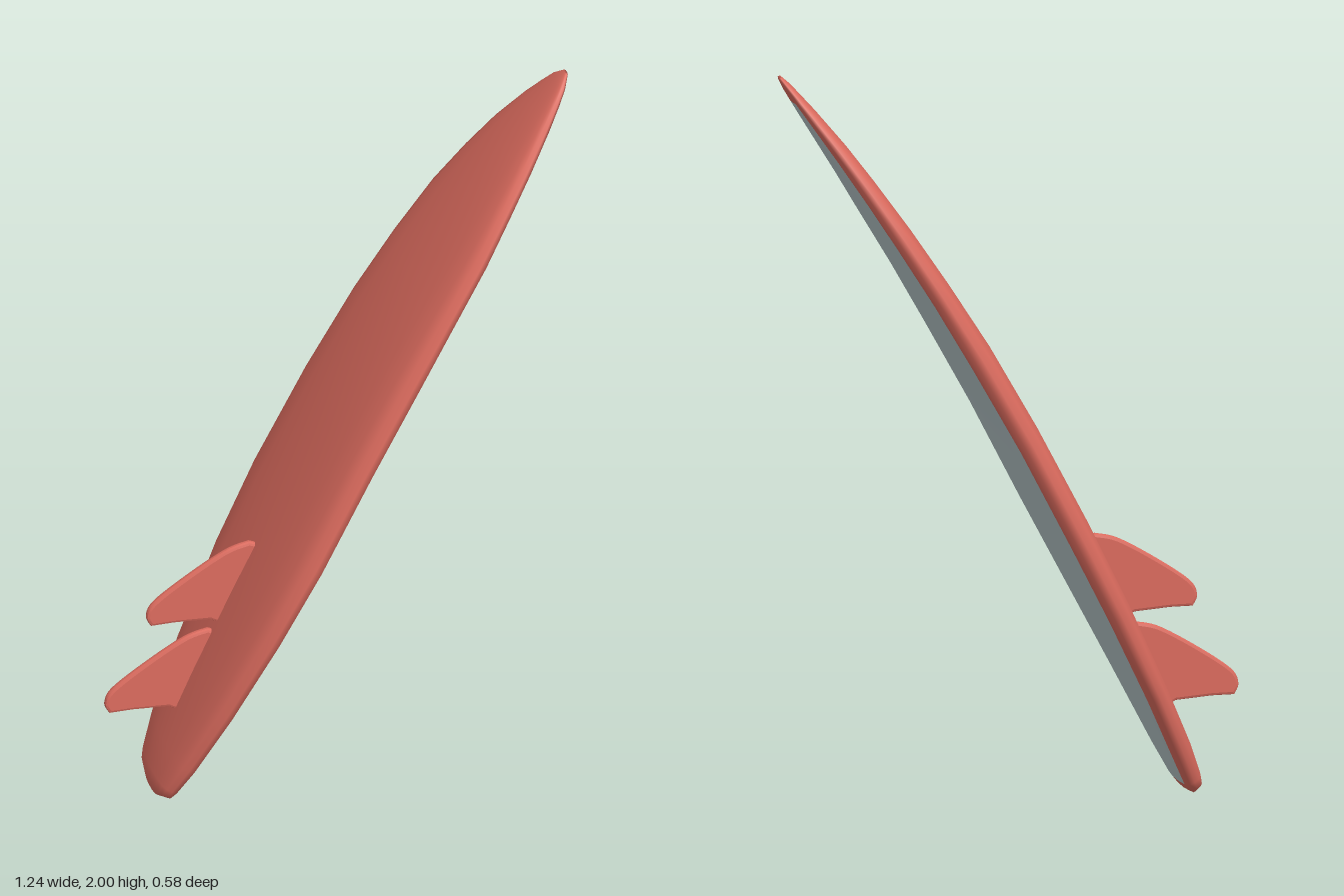
import * as THREE from 'three';

const red = new THREE.MeshStandardMaterial({ color: 0xdb6b5e });
red.name = 'coral red';
const grey = new THREE.MeshStandardMaterial({ color: 0xb6c6c8 });
grey.name = 'pale grey';

// Stations from tail to nose: distance, half width, half thickness, rocker
const STATIONS = [
  [0, 0.05, 0.012, 0.004], [0.025, 0.105, 0.026, 0.007], [0.05, 0.12, 0.032, 0.009],
  [0.14, 0.158, 0.038, 0.017], [0.34, 0.217, 0.042, 0.032], [0.6, 0.265, 0.046, 0.047],
  [0.84, 0.285, 0.048, 0.057], [1.14, 0.28, 0.047, 0.067], [1.4, 0.268, 0.046, 0.067],
  [1.6, 0.25, 0.041, 0.061], [1.78, 0.225, 0.037, 0.051], [1.92, 0.187, 0.032, 0.041],
  [2.04, 0.147, 0.027, 0.03], [2.15, 0.099, 0.02, 0.017], [2.21, 0.067, 0.015, 0.009],
  [2.25, 0.043, 0.011, 0.004], [2.28, 0.012, 0.005, 0],
];

// Cross-section: around the hull from one deck edge to the other, then back over the deck
function section([s, hw, t, mid]) {
  const half = [
    [0.985, -0.5], [1, -0.08], [0.96, 0.38], [0.84, 0.68], [0.6, 0.87], [0.3, 0.96],
  ].map(([w, n]) => [w * hw, n * t]);
  const left = Math.max(hw - 0.046, hw * 0.1), right = Math.max(hw - 0.028, hw * 0.1);
  const ring = [
    [-right, -0.78 * t], ...half.map(([w, n]) => [-w, n]), [0, t], ...half.reverse(),
    [left, -0.78 * t], [left * 0.6, -0.93 * t], [0, -t], [-right * 0.6, -0.93 * t],
  ];
  return ring.map(([w, n]) => [s, mid + n, w]);
}

function boardGeometry() {
  const rings = STATIONS.map(section);
  const count = rings[0].length, hullEnd = count - 4;
  const hull = [], deck = [];
  for (let i = 0; i < rings.length - 1; i++) {
    const painted = i >= 2 && i < rings.length - 3;
    for (let j = 0; j < count; j++) {
      const a = i * count + j, b = i * count + (j + 1) % count;
      const target = painted && j >= hullEnd ? deck : hull;
      target.push(a, b, a + count, b, b + count, a + count);
    }
  }
  // Closed tail and nose
  const last = (rings.length - 1) * count;
  for (let j = 1; j < count - 1; j++) {
    hull.push(0, j + 1, j, last, last + j, last + j + 1);
  }
  const geo = new THREE.BufferGeometry();
  geo.setAttribute('position', new THREE.Float32BufferAttribute(rings.flat(2), 3));
  geo.setIndex([...hull, ...deck]);
  geo.addGroup(0, hull.length, 0);
  geo.addGroup(hull.length, deck.length, 1);
  geo.computeVertexNormals();
  return geo;
}

// Swept-back fin with a rounded tip
function finGeometry() {
  const shape = new THREE.Shape();
  shape.moveTo(0.74, 0.075);
  shape.lineTo(0.735, 0.115);
  shape.splineThru([[0.69, 0.16], [0.59, 0.218], [0.489, 0.265], [0.446, 0.264], [0.428, 0.243]]
    .map(([x, y]) => new THREE.Vector2(x, y)));
  shape.lineTo(0.457, 0.193);
  shape.lineTo(0.5, 0.105);
  shape.lineTo(0.5, 0.06);
  const geo = new THREE.ExtrudeGeometry(shape, {
    depth: 0.006, bevelEnabled: true, bevelSize: 0.008, bevelThickness: 0.007,
    bevelOffset: -0.004, bevelSegments: 2, curveSegments: 12,
  });
  return geo.translate(0, 0, -0.003);
}

export function createModel() {
  const model = new THREE.Group();
  model.name = 'surfboard';

  // Leaning frame: length, underside direction, width
  const along = new THREE.Vector3(0.483, 0.874, -0.06).normalize();
  const across = new THREE.Vector3(0.09, 0.018, 0.995);
  across.addScaledVector(along, -across.dot(along)).normalize();
  const under = new THREE.Vector3().crossVectors(across, along);
  const lean = new THREE.Group();
  lean.name = 'leaningBoard';
  lean.quaternion.setFromRotationMatrix(new THREE.Matrix4().makeBasis(along, under, across));
  lean.position.set(-0.49, 0.012, 0.042);
  model.add(lean);

  const board = new THREE.Mesh(boardGeometry(), [red, grey]);
  board.name = 'board';
  lean.add(board);

  // Two fins in line on the underside
  const finShape = finGeometry();
  [['frontFin', 0, 0], ['rearFin', -0.27, -0.022]].forEach(([name, s, n]) => {
    const fin = new THREE.Mesh(finShape, red);
    fin.name = name;
    fin.position.set(s, n, 0);
    lean.add(fin);
  });
  return model;
}
